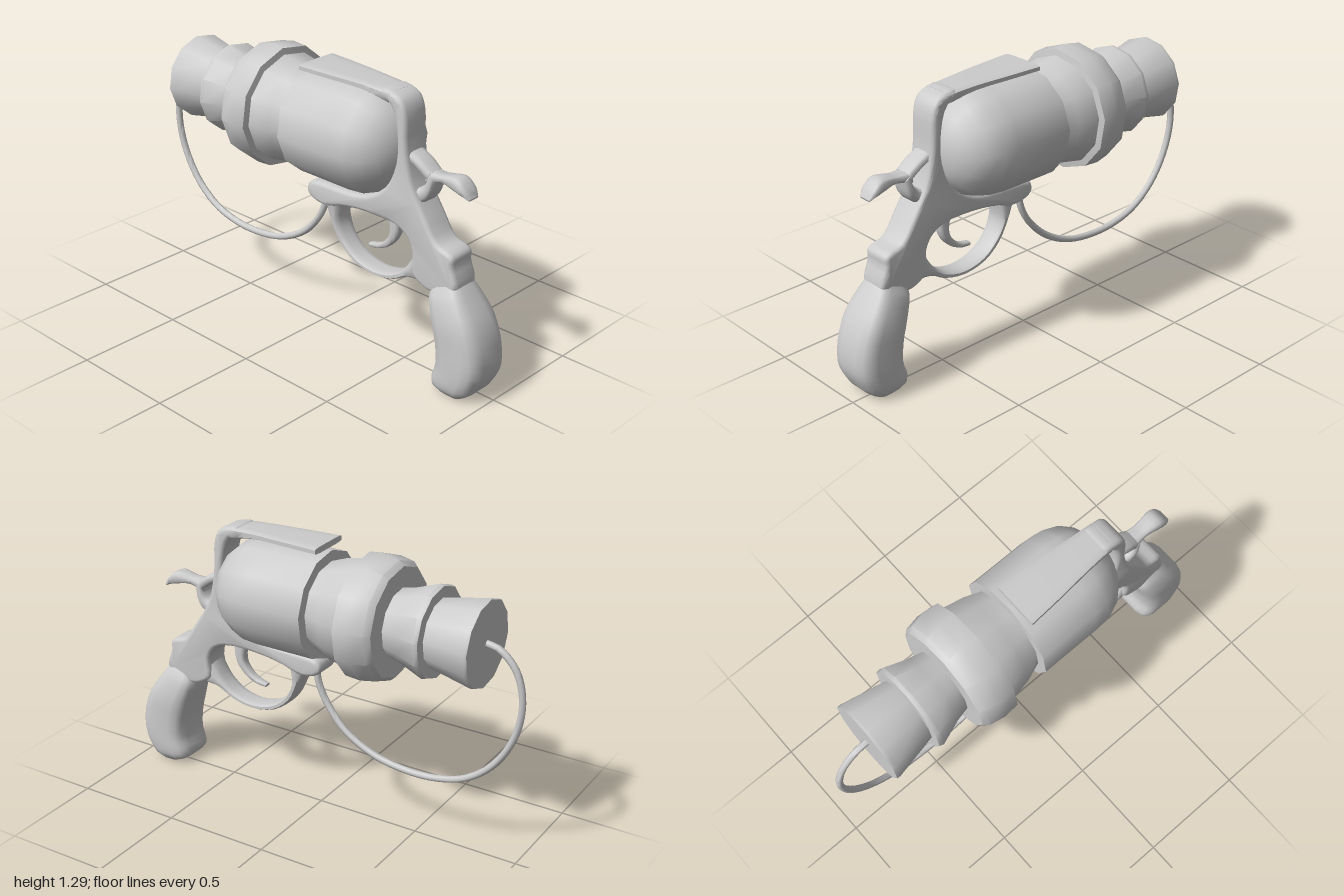
import * as THREE from 'three';
import { toCreasedNormals } from 'three/addons/utils/BufferGeometryUtils.js';

const material = new THREE.MeshStandardMaterial({ color: 0xcccccc });
const AXIS_Y = 1.01;   // height of the barrel axis
const FRAME_Z = 0.025; // the frame sits slightly off the barrel's centre plane

function part(name, geometry, crease = 0.75) {
  const mesh = new THREE.Mesh(toCreasedNormals(geometry, crease), material);
  mesh.name = name;
  return mesh;
}

// Turned part along x, from [x, radius] pairs
function turned(name, profile) {
  const points = profile.map(([x, r]) => new THREE.Vector2(r, x));
  const geometry = new THREE.LatheGeometry(points, 12).rotateZ(-Math.PI / 2);
  const mesh = part(name, geometry.rotateX(0.1), 0.65);
  mesh.position.y = AXIS_Y;
  return mesh;
}

// Rounded body through sections [x1, y1, x2, y2, halfDepth]: two silhouette edges and a depth
function loft(name, sections, { smooth = 3, sides = 12, power = 0.6 } = {}) {
  const steps = (sections.length - 1) * smooth;
  const curve = (f) => new THREE.CatmullRomCurve3(sections.map(f), false, 'catmullrom', 0.5);
  const first = curve((s) => new THREE.Vector3(s[0], s[1], s[4]));
  const second = curve((s) => new THREE.Vector3(s[2], s[3], s[4]));
  const round = (v) => Math.sign(v) * Math.abs(v) ** power;
  const pos = [], index = [];
  for (let i = 0; i <= steps; i++) {
    const a = first.getPoint(i / steps), b = second.getPoint(i / steps);
    for (let j = 0; j < sides; j++) {
      const t = ((j + 0.5) / sides) * Math.PI * 2;
      const c = round(Math.cos(t)) / 2;
      pos.push((a.x + b.x) / 2 + (b.x - a.x) * c, (a.y + b.y) / 2 + (b.y - a.y) * c,
        FRAME_Z + a.z * round(Math.sin(t)));
    }
  }
  for (let i = 0; i < steps; i++) {
    for (let j = 0; j < sides; j++) {
      const k = (j + 1) % sides, p = i * sides, q = p + sides;
      index.push(p + j, p + k, q + j, p + k, q + k, q + j);
    }
  }
  // end caps
  for (let j = 1; j < sides - 1; j++) {
    const e = steps * sides;
    index.push(0, j + 1, j, e, e + j, e + j + 1);
  }
  // turn the faces outward if the signed volume is negative
  let volume = 0;
  const v = (i) => new THREE.Vector3().fromArray(pos, i * 3);
  for (let i = 0; i < index.length; i += 3) {
    volume += v(index[i]).dot(v(index[i + 1]).cross(v(index[i + 2])));
  }
  if (volume < 0) index.reverse();
  const geometry = new THREE.BufferGeometry();
  geometry.setAttribute('position', new THREE.Float32BufferAttribute(pos, 3));
  geometry.setIndex(index);
  return part(name, geometry, 0.9);
}

export function createModel() {
  const model = new THREE.Group();
  model.name = 'toyRayPistol';

  // Stepped barrel with its swollen ring
  model.add(turned('barrel', [
    [-0.81, 0], [-0.81, 0.195], [-0.795, 0.197], [-0.59, 0.155], [-0.59, 0.205], [-0.57, 0.21],
    [-0.46, 0.17], [-0.395, 0.155], [-0.395, 0.25], [-0.37, 0.272], [-0.3, 0.285], [-0.225, 0.28],
    [-0.22, 0.25], [-0.12, 0.23], [-0.04, 0.2], [0, 0.2],
  ]));

  // Drum with a domed back
  model.add(turned('drum', [
    [-0.04, 0], [-0.04, 0.25], [0.25, 0.25], [0.33, 0.243], [0.4, 0.215],
    [0.455, 0.165], [0.49, 0.1], [0.505, 0],
  ]));

  // Frame: back strap, neck and lower rail in one bevelled outline
  const outline = [
    [0.42, 1.287], [0.47, 1.283], [0.52, 1.26], [0.547, 1.2], [0.555, 1.06], [0.59, 0.9], [0.67, 0.77],
    [0.735, 0.68], [0.8, 0.66], [0.82, 0.64], [0.82, 0.6], [0.845, 0.51], [0.78, 0.47], [0.7, 0.45],
    [0.64, 0.47], [0.595, 0.51], [0.6, 0.6], [0.57, 0.66], [0.5, 0.695], [0.35, 0.7], [0.2, 0.68],
    [0.1, 0.65], [0.02, 0.66], [-0.015, 0.69], [-0.01, 0.73], [0.03, 0.75], [0.25, 0.76],
    [0.36, 0.79], [0.45, 0.86], [0.5, 0.98], [0.5, 1.12], [0.47, 1.22], [0.42, 1.255],
  ].map(([x, y]) => new THREE.Vector3(x, y, 0));
  const smoothOutline = new THREE.CatmullRomCurve3(outline, true).getPoints(90).slice(0, -1);
  const frame = new THREE.ExtrudeGeometry(
    new THREE.Shape(smoothOutline.map((p) => new THREE.Vector2(p.x, p.y))),
    { depth: 0.1, bevelThickness: 0.022, bevelSize: 0.018, bevelOffset: -0.018, bevelSegments: 3 },
  );
  model.add(part('frame', frame.translate(0, 0, FRAME_Z - 0.05)));

  // Flat strap above the drum, widening to the front
  model.add(loft('topStrap', [
    [-0.02, 1.262, -0.02, 1.292, 0.11], [0.15, 1.26, 0.15, 1.291, 0.098],
    [0.32, 1.255, 0.32, 1.289, 0.082], [0.45, 1.23, 0.47, 1.284, 0.072],
  ], { power: 0.4 }));

  // Trigger guard
  model.add(loft('triggerGuard', [
    [0.07, 0.67, 0.16, 0.67, 0.06], [0.11, 0.59, 0.15, 0.58, 0.055], [0.16, 0.49, 0.19, 0.505, 0.05],
    [0.25, 0.42, 0.265, 0.445, 0.05], [0.37, 0.395, 0.37, 0.422, 0.05], [0.48, 0.415, 0.47, 0.443, 0.05],
    [0.57, 0.46, 0.54, 0.495, 0.055], [0.67, 0.46, 0.59, 0.58, 0.06],
  ]));

  // Trigger
  model.add(loft('trigger', [
    [0.42, 0.7, 0.49, 0.7, 0.025], [0.432, 0.62, 0.475, 0.61, 0.025], [0.4, 0.565, 0.425, 0.545, 0.022],
    [0.36, 0.538, 0.365, 0.515, 0.02], [0.31, 0.525, 0.315, 0.508, 0.016],
  ]));

  // Grip
  model.add(loft('grip', [
    [0.71, 0.48, 0.835, 0.525, 0.072], [0.698, 0.435, 0.885, 0.46, 0.1], [0.725, 0.34, 0.95, 0.365, 0.121],
    [0.75, 0.24, 0.988, 0.26, 0.123], [0.758, 0.14, 0.995, 0.15, 0.123], [0.738, 0.075, 0.965, 0.07, 0.12],
    [0.745, 0.035, 0.935, 0.03, 0.11], [0.8, 0.005, 0.9, 0.004, 0.085],
  ], { sides: 16, power: 0.55 }));

  // Hammer: stem, upper arm and curved thumb spur
  const hammer = new THREE.Group();
  hammer.name = 'hammer';
  hammer.add(
    loft('hammerStem', [
      [0.55, 0.9, 0.6, 0.81, 0.05], [0.6, 0.885, 0.645, 0.84, 0.05],
      [0.635, 0.91, 0.67, 0.88, 0.05], [0.65, 0.965, 0.685, 0.94, 0.045],
    ]),
    loft('hammerArm', [
      [0.54, 1.0, 0.555, 1.04, 0.05], [0.6, 0.97, 0.615, 1.01, 0.05], [0.65, 0.93, 0.665, 0.975, 0.045],
    ]),
    loft('hammerSpur', [
      [0.64, 0.92, 0.65, 0.975, 0.045], [0.72, 0.94, 0.71, 0.975, 0.035],
      [0.78, 0.93, 0.795, 0.988, 0.045], [0.83, 0.918, 0.84, 0.955, 0.045], [0.86, 0.905, 0.865, 0.915, 0.03],
    ]),
  );
  model.add(hammer);

  // Cable looping from the muzzle to the lower rail
  const path = [
    [-0.8, 1.015], [-0.87, 1.0], [-0.95, 0.92], [-0.985, 0.78], [-0.96, 0.62], [-0.87, 0.46], [-0.74, 0.355],
    [-0.6, 0.312], [-0.45, 0.305], [-0.28, 0.335], [-0.13, 0.415], [-0.03, 0.52], [0.015, 0.61], [0.03, 0.69],
  ].map(([x, y], i) => new THREE.Vector3(x, y, i > 10 ? 0.005 : -0.003));
  model.add(part('cable', new THREE.TubeGeometry(new THREE.CatmullRomCurve3(path), 60, 0.016, 8), 0.9));

  return model;
}
